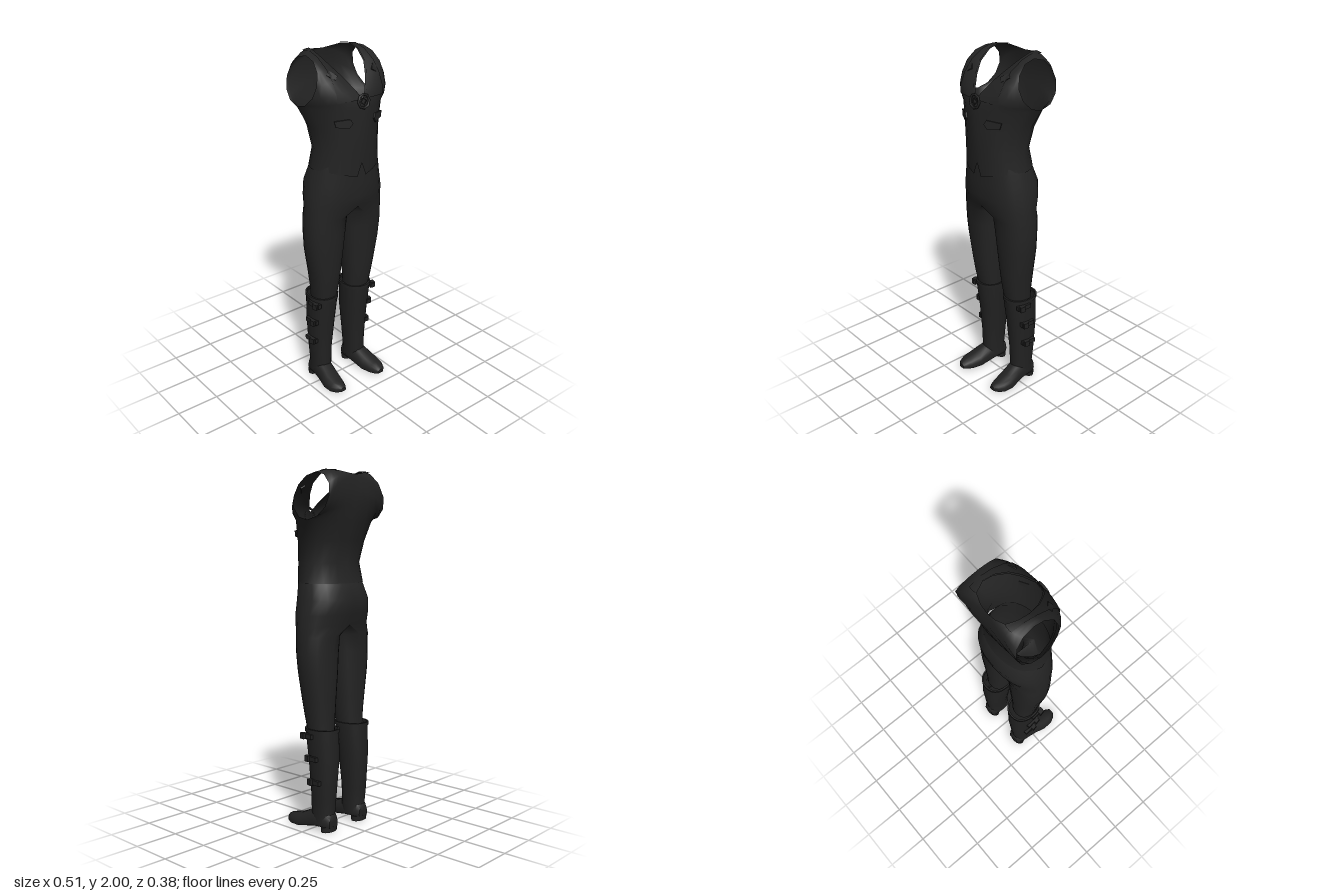
import * as THREE from 'three';
import { mergeGeometries, mergeVertices, toCreasedNormals } from 'three/addons/utils/BufferGeometryUtils.js';

const V = (x, y, z) => new THREE.Vector3(x, y, z);

// Surface through rows of points; quads lying on the centre plane can be left out
function grid(rows, skipCentre = false) {
  const n = rows[0].length, index = [];
  for (let r = 0; r < rows.length - 1; r++) {
    for (let c = 0; c < n - 1; c++) {
      const quad = [rows[r][c], rows[r][c + 1], rows[r + 1][c], rows[r + 1][c + 1]];
      if (skipCentre && quad.every((p) => Math.abs(p.x) < 1e-4)) continue;
      const a = r * n + c, d = a + n;
      index.push(a, a + 1, d + 1, a, d + 1, d);
    }
  }
  const geo = new THREE.BufferGeometry().setFromPoints(rows.flat());
  geo.setIndex(index);
  return geo;
}

// Mirror across x and restore the winding
function mirrored(geo) {
  const g = geo.clone().scale(-1, 1, 1);
  if (!g.index) g.setIndex([...Array(g.attributes.position.count).keys()]);
  const ix = g.index.array;
  for (let i = 0; i < ix.length; i += 3) [ix[i], ix[i + 1]] = [ix[i + 1], ix[i]];
  return g;
}

// Join a half with its mirror image into one smooth skin
function whole(half) {
  const g = mergeVertices(mergeGeometries([half, mirrored(half)]), 1e-4);
  g.computeVertexNormals();
  return g;
}

const bend = (v, p) => Math.sign(v) * Math.abs(v) ** p;

// Closed loop of points, one for each angle given as cosine and sine
const loop = (sides, point) => Array.from({ length: sides + 1 }, (_, i) => {
  const a = ((i % sides) / sides) * Math.PI * 2;
  return point(Math.cos(a), Math.sin(a));
});

// Horizontal ring with separate inner and outer widths
const ring = (y, xi, xc, xo, zf, zb) => loop(24, (cos, sin) => {
  const c = bend(cos, 0.88), s = bend(sin, 0.88);
  return V(xc + c * (c > 0 ? xo - xc : xc - xi), y, (zf + zb) / 2 - s * (zf - zb) / 2);
});

// Centre and neck edge, from the chest over the shoulder to the upper back
const neckEdge = [
  [0, 1.72, 0.18], [0, 1.775, 0.172], [0.03, 1.82, 0.147], [0.07, 1.88, 0.1], [0.105, 1.93, 0.045],
  [0.125, 1.975, -0.03], [0.125, 1.995, -0.09], [0.1, 1.99, -0.145], [0.05, 1.98, -0.163],
  [0, 1.975, -0.168], [0, 1.9, -0.18], [0, 1.82, -0.183], [0, 1.72, -0.168],
];

// Curves from the neck edge to the round, inward-leaning armhole
const yoke = neckEdge.map(([x, y, z], i) => {
  const a = (i * 30 - 90) * Math.PI / 180;
  const oy = 1.857 + 0.126 * Math.sin(a);
  const outer = V(0.19 + 0.26 * (1.983 - oy), oy, -0.055 + 0.129 * Math.cos(a));
  const bulge = V(outer.x * 0.82, (y + oy) / 2 + 0.008, z * 0.95 + 0.035 * Math.cos(a));
  return new THREE.QuadraticBezierCurve3(V(x, y, z), bulge, outer);
});

// Waist curves: y, half width, front z, back z, side z
const waist = [[1.39, 0.21, 0.167, -0.135, 0], [1.5, 0.195, 0.176, -0.112, 0.01], [1.62, 0.208, 0.181, -0.14, -0.02]];
const waistCurve = (y, x, z, side) =>
  new THREE.QuadraticBezierCurve3(V(0, y, z), V(x * 0.88, y, z * 0.98), V(x, y, side));

// Vest half: up the front, over the shoulder and down the back
function vestGeometry() {
  const front = waist.map(([y, x, zf, , side]) => waistCurve(y, x, zf, side));
  const back = waist.map(([y, x, , zb, side]) => waistCurve(y, x, zb, side)).reverse();
  const rows = [...front, ...yoke, ...back].map((curve) =>
    [0, 0.08, 0.25, 0.42, 0.6, 0.8, 1].map((t) => curve.getPoint(t)));
  // Notched front hem with two points
  const hem = [1.425, 1.35, 1.365, 1.375, 1.385, 1.39, 1.39];
  rows[0].forEach((p, i) => { p.y = hem[i]; });
  return whole(grid(rows));
}

// Band lying just outside the vest, along the neckline
function strapGeometry() {
  const rows = yoke.slice(1, 8).map((curve, i) =>
    [0.02, 0.15, 0.3, 0.44].map((t) => curve.getPoint(t).add(V(0, 0.004, i < 6 ? 0.005 : -0.005))));
  const g = grid(rows);
  g.computeVertexNormals();
  return g;
}

// Trousers: y, inner x, middle x, outer x, front z, back z
function trousersGeometry() {
  const rows = [
    [0.55, 0.048, 0.12, 0.188, 0.045, -0.1], [0.65, 0.038, 0.12, 0.2, 0.065, -0.1],
    [0.75, 0.028, 0.122, 0.215, 0.078, -0.104], [0.9, 0.015, 0.12, 0.24, 0.093, -0.11],
    [1.0, 0.01, 0.115, 0.247, 0.103, -0.112], [1.1, 0.006, 0.1, 0.246, 0.112, -0.118],
    [1.16, 0, 0, 0.243, 0.138, -0.135], [1.22, 0, 0, 0.238, 0.152, -0.155],
    [1.3, 0, 0, 0.224, 0.155, -0.166], [1.38, 0, 0, 0.205, 0.155, -0.136],
    [1.44, 0, 0, 0.185, 0.155, -0.1],
  ];
  return whole(grid(rows.map((r) => ring(...r)), true));
}

// Boot shaft with a raised cuff: y, inner x, outer x, front z, back z, growth
function shaftGeometry() {
  const cuff = [0.04, 0.205, 0.058, -0.136];
  const rows = [
    [0.05, 0.072, 0.184, 0.015, -0.125, 0], [0.1, 0.072, 0.183, 0.02, -0.121, 0],
    [0.2, 0.068, 0.188, 0.02, -0.13, 0], [0.4, 0.05, 0.198, 0.037, -0.142, 0],
    [0.565, ...cuff, 0], [0.565, ...cuff, 0.004], [0.585, ...cuff, 0.004], [0.585, ...cuff, -0.006],
  ];
  return grid(rows.map(([y, a, b, f, k, g]) => ring(y, a - g, (a + b) / 2, b + g, f + g, k - g)));
}

// Foot: z, middle x, half width, bottom y, top y
function footGeometry() {
  const sections = [
    [-0.128, 0.128, 0.035, 0.025, 0.09], [-0.11, 0.128, 0.05, 0.025, 0.11],
    [-0.02, 0.132, 0.056, 0.02, 0.12], [0.02, 0.137, 0.056, 0.012, 0.108],
    [0.08, 0.146, 0.06, 0.002, 0.078], [0.14, 0.152, 0.052, 0.004, 0.063],
    [0.175, 0.15, 0.036, 0.01, 0.053], [0.193, 0.146, 0.02, 0.016, 0.04],
  ];
  const rows = sections.map(([z, xc, w, lo, hi]) => loop(16, (c, s) => {
    const rise = s > 0 ? 0.25 + 0.75 * s : 0.25 * (1 - bend(-s, 0.4));
    return V(xc + w * bend(c, 0.7), lo + (hi - lo) * rise, z);
  }));
  const cap = ([z, xc, , lo, hi]) => Array.from({ length: 17 }, () => V(xc, (lo + hi) / 2, z));
  return grid([cap(sections[0]), ...rows, cap(sections.at(-1))]);
}

export function createModel() {
  const model = new THREE.Group();
  const mat = (name, color) => Object.assign(new THREE.MeshStandardMaterial({ color, side: THREE.DoubleSide }), { name });
  const cloth = mat('black cloth', 0x242424);
  const leather = mat('black leather', 0x222222);
  const add = (name, geo, material) => {
    const m = new THREE.Mesh(geo, material);
    m.name = name;
    model.add(m);
  };
  const pair = (name, geo, material) => {
    add(name + 'Left', geo, material);
    add(name + 'Right', mirrored(geo), material);
  };
  const soft = (geo) => toCreasedNormals(mergeVertices(geo, 1e-4), 0.8);
  const box = (w, h, d) => new THREE.BoxGeometry(w, h, d);

  add('vest', vestGeometry(), cloth);
  add('trousers', trousersGeometry(), cloth);

  // Shoulder straps with tabs, meeting at a chest buckle
  pair('shoulderStrap', strapGeometry(), leather);
  pair('strapTab', box(0.05, 0.03, 0.012).rotateZ(0.7).rotateX(-0.75).rotateY(0.25).translate(0.138, 1.9, 0.09), leather);
  const onChest = (g) => g.rotateX(-0.15).translate(0, 1.765, 0.177);
  add('buckleRing', onChest(new THREE.TorusGeometry(0.036, 0.007, 6, 8)), leather);
  add('buckleDiamond', onChest(new THREE.TorusGeometry(0.018, 0.005, 4, 4)), leather);

  // Pointed pocket flaps
  const flap = new THREE.Shape([[0.05, 0.02], [-0.035, 0.028], [-0.05, 0.005], [-0.03, -0.022], [0.04, -0.012]]
    .map(([x, y]) => new THREE.Vector2(x, y)));
  pair('pocketFlap', new THREE.ExtrudeGeometry(flap, { depth: 0.008, bevelEnabled: false })
    .rotateY(0.48).translate(0.112, 1.655, 0.15), cloth);

  // Boots with heels and side buckles
  pair('bootShaft', soft(shaftGeometry()), leather);
  pair('bootFoot', soft(footGeometry()), leather);
  pair('bootHeel', new THREE.CylinderGeometry(0.056, 0.054, 0.03, 12).scale(1, 1, 0.64).translate(0.129, 0.015, -0.094), leather);
  [[0.545, 0.205, 0], [0.42, 0.203, -0.03], [0.285, 0.197, -0.045]].forEach(([y, x, z], i) => {
    pair('bootStrap' + (i + 1), box(0.022, 0.026, 0.085).rotateY(-0.12).translate(x - 0.002, y, z), leather);
    pair('bootBuckle' + (i + 1), box(0.024, 0.034, 0.03).rotateY(-0.2).translate(x + 0.008, y, z + 0.022), leather);
  });
  return model;
}
